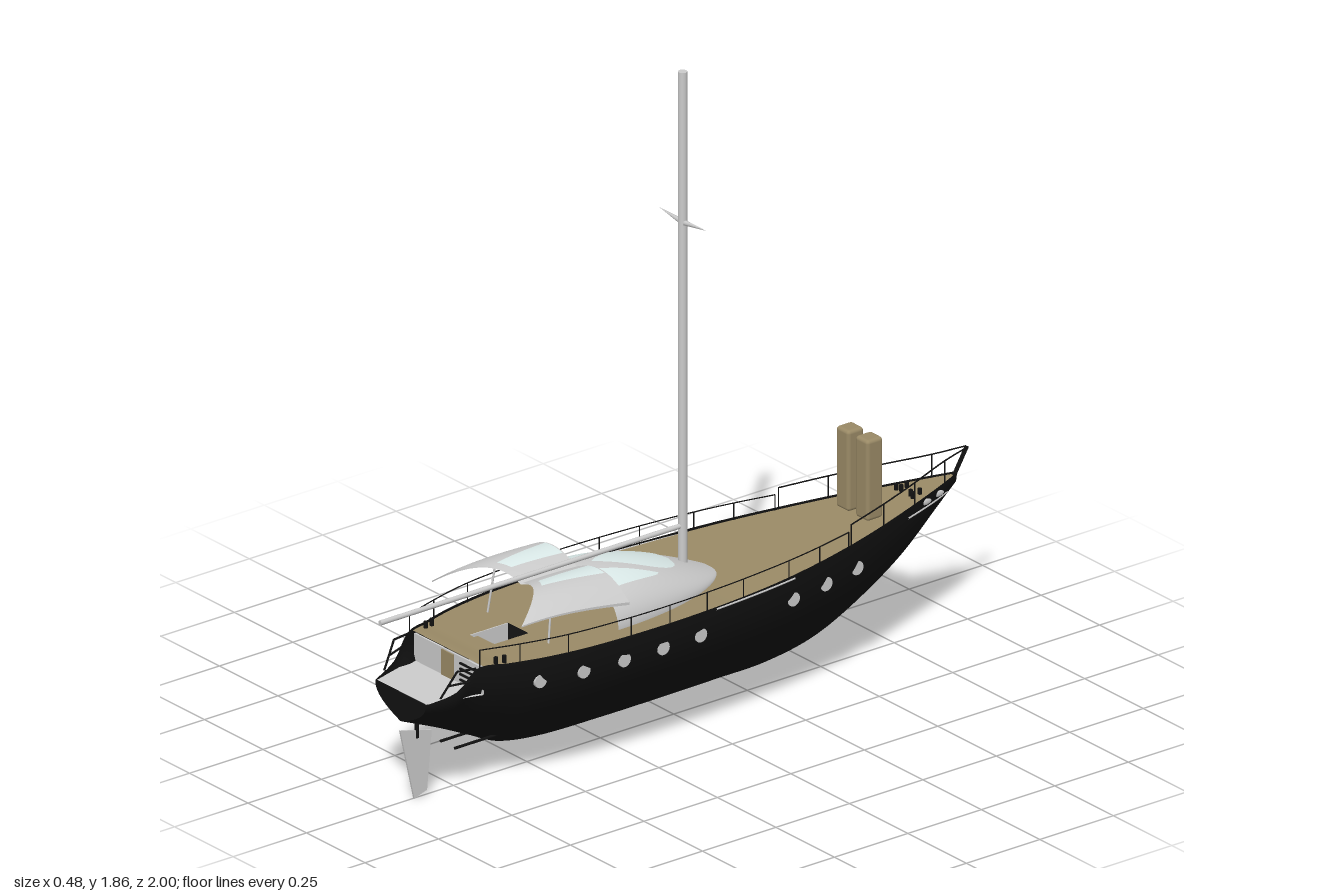
import * as THREE from 'three';
import { ParametricGeometry } from 'three/addons/geometries/ParametricGeometry.js';
import { RoundedBoxGeometry } from 'three/addons/geometries/RoundedBoxGeometry.js';

const mat = (color) => new THREE.MeshStandardMaterial({ color, side: THREE.DoubleSide });
const grey = mat(0xcccccc), black = mat(0x111111), teak = mat(0x9a8a66), glass = mat(0xdcebea);

// hull stations: z, half beam, keel height, sheer height
const stations = [
  [-0.96, 0.004, 0.418, 0.446], [-0.9, 0.028, 0.366, 0.442], [-0.77, 0.073, 0.254, 0.435], [-0.61, 0.123, 0.158, 0.427],
  [-0.47, 0.16, 0.099, 0.421], [-0.31, 0.194, 0.072, 0.416], [-0.15, 0.217, 0.069, 0.412], [0.05, 0.233, 0.067, 0.41],
  [0.25, 0.238, 0.067, 0.41], [0.46, 0.228, 0.072, 0.41], [0.6, 0.206, 0.094, 0.41], [0.7, 0.178, 0.14, 0.41],
  [0.79, 0.149, 0.183, 0.408], [0.84, 0.135, 0.205, 0.352], [0.93, 0.108, 0.243, 0.325]];

// smooth cubic interpolation of one station column
function at(z, k) {
  const s = stations, n = s.length;
  let i = 0;
  while (i < n - 2 && z > s[i + 1][0]) i++;
  const slope = (j) => {
    const a = s[Math.max(j - 1, 0)], b = s[Math.min(j + 1, n - 1)];
    return (b[k] - a[k]) / (b[0] - a[0]);
  };
  const h = s[i + 1][0] - s[i][0], t = THREE.MathUtils.clamp((z - s[i][0]) / h, 0, 1), t2 = t * t, t3 = t2 * t;
  return (2 * t3 - 3 * t2 + 1) * s[i][k] + (t3 - 2 * t2 + t) * h * slope(i)
    + (3 * t2 - 2 * t3) * s[i + 1][k] + (t3 - t2) * h * slope(i + 1);
}
const beam = (z) => at(z, 1), keel = (z) => at(z, 2), sheer = (z) => at(z, 3);
const fullness = (t) => 1 - Math.pow(1 - t, 2.2);
const hullX = (z, y) => beam(z) * fullness((y - keel(z)) / (sheer(z) - keel(z)));
const mix = THREE.MathUtils.lerp;

export function createModel() {
  const model = new THREE.Group();
  const add = (name, geometry, material, x = 0, y = 0, z = 0) => {
    const mesh = new THREE.Mesh(geometry, material);
    mesh.name = name;
    mesh.position.set(x, y, z);
    model.add(mesh);
    return mesh;
  };
  const patch = (name, f, nu, nv, material) =>
    add(name, new ParametricGeometry((u, v, p) => p.set(...f(u, v)), nu, nv), material);
  const box = (name, w, h, d, material, x, y, z) => add(name, new THREE.BoxGeometry(w, h, d), material, x, y, z);
  const rod = (name, a, b, r, material, sides = 8) => {
    const from = new THREE.Vector3(...a), dir = new THREE.Vector3(...b).sub(from);
    const m = add(name, new THREE.CylinderGeometry(r, r, dir.length(), sides), material);
    m.position.copy(from).addScaledVector(dir, 0.5);
    m.quaternion.setFromUnitVectors(new THREE.Vector3(0, 1, 0), dir.normalize());
    return m;
  };
  const tube = (name, pts, r, material) => add(name, new THREE.TubeGeometry(
    new THREE.CatmullRomCurve3(pts.map((p) => new THREE.Vector3(...p))), 48, r, 6), material);

  // hull shell and transom
  patch('hull', (u, v) => {
    const z = mix(-0.96, 0.93, v), s = 2 * u - 1, t = Math.abs(s);
    return [Math.sign(s) * beam(z) * fullness(t), mix(keel(z), sheer(z), t), z];
  }, 40, 110, black);
  const transom = new THREE.Shape();
  for (let i = -12; i <= 12; i++) {
    const t = Math.abs(i) / 12, x = Math.sign(i) * beam(0.93) * fullness(t), y = mix(keel(0.93), sheer(0.93), t);
    if (i === -12) transom.moveTo(x, y); else transom.lineTo(x, y);
  }
  add('transom', new THREE.ShapeGeometry(transom), black, 0, 0, 0.929);

  // teak deck, with an opening for the companionway steps
  const deckY = (z) => sheer(z) - 0.006;
  const deckPart = (z0, z1, inner, n) => patch('deck', (u, v) => {
    const z = mix(z0, z1, v);
    return [mix(inner === null ? -beam(z) : inner, beam(z) * Math.sign(inner || 1), u) * 0.985, deckY(z), z];
  }, 4, n, teak);
  deckPart(-0.95, 0.53, null, 60);
  deckPart(0.53, 0.66, 0.045, 8);
  deckPart(0.53, 0.66, -0.045, 8);
  deckPart(0.66, 0.765, null, 6);
  for (let i = 0; i < 5; i++) box('companionwayStep', 0.09, 0.008, 0.024, teak, 0, 0.39 - i * 0.018, 0.645 - i * 0.026);
  for (const s of [-1, 1]) box('companionwayWall', 0.004, 0.1, 0.13, grey, s * 0.045, 0.353, 0.595);
  box('companionwayFloor', 0.09, 0.004, 0.13, grey, 0, 0.302, 0.595);

  // stern bathing platform and its riser
  patch('sternPlatform', (u, v) => {
    const z = mix(0.765, 0.926, v);
    return [mix(-1, 1, u) * beam(z) * 0.96, 0.326, z];
  }, 4, 10, grey);
  box('sternRiser', 0.29, 0.078, 0.006, grey, 0, 0.365, 0.765);
  box('sternDoor', 0.05, 0.074, 0.004, teak, 0, 0.364, 0.77);
  for (let i = 0; i < 4; i++) box('sternLadderRung', 0.07, 0.004, 0.006, black, 0.09, 0.34 + i * 0.016, 0.772);

  // domed coach roof with windows lying on its surface
  const domeW = (z) => { const s = (z + 0.125) / 0.455; return 0.178 * Math.sqrt(Math.max(0, s * (2 - s))); };
  const domeH = (z) => 0.126 * Math.sin(((z + 0.125) / 0.455) * Math.PI / 2);
  const domeY = (x, z) => 0.403 + domeH(z) * Math.sqrt(Math.max(0, 1 - (x / domeW(z)) ** 2));
  patch('coachRoof', (u, v) => {
    const z = -0.1249 + 0.4549 * v * v, a = Math.PI * u;
    return [-domeW(z) * Math.cos(a), 0.403 + domeH(z) * Math.sin(a), z];
  }, 40, 36, grey);
  const domeWindow = (name, z0, z1, left, right) => patch(name, (u, v) => {
    const z = mix(z0, z1, v), x = mix(left(v), right(v), u);
    return [x, domeY(x, z) + 0.003, z];
  }, 12, 24, glass);
  const drop = (v) => 0.072 * Math.pow(Math.max(0, Math.sin(Math.PI * Math.pow(v, 0.55))), 0.8) * (1 - 0.1 * v);
  domeWindow('frontWindow', 0.02, 0.28, (v) => -drop(v), drop);
  for (const s of [-1, 1])
    domeWindow('sideWindow', 0.125, 0.325, (v) => s * (0.09 - 0.055 * v), (v) => s * (0.091 + 0.03 * Math.sqrt(v)));

  // gull-wing hardtop with roof lights
  const roofHeight = (x) => 0.536 + 0.027 * Math.sin(Math.min(Math.abs(x) / 0.1, 1) * Math.PI / 2)
    - 3.5 * Math.max(0, Math.abs(x) - 0.1) ** 2;
  const roofPoint = (s, v, lift = 0) => {
    const z = mix(0.33, 0.52 + 0.15 * s * s, v), aft = Math.max(0, (z - 0.33) / 0.35);
    const x = s * (0.224 - 0.034 * aft);
    return [x, roofHeight(x) - 0.008 * (1 - aft) ** 2 - 0.022 * aft ** 3 + lift, z];
  };
  patch('hardtop', (u, v) => roofPoint(2 * u - 1, v), 48, 16, grey);
  patch('hardtopUnderside', (u, v) => roofPoint(2 * u - 1, v, -0.008 * (1 - v * 0.5)), 48, 16, grey);
  for (const s of [-1, 1]) {
    patch('hardtopSide', (u, v) => roofPoint(s, v, -0.008 * u * (1 - v * 0.5)), 1, 16, grey);
    patch('roofLight', (u, v) => roofPoint(s * mix(0.24 + 0.04 * v, 0.57 - 0.1 * v, u), 0.03 + 0.85 * v, 0.002), 10, 10, glass);
    rod('hardtopPost', [s * 0.13, 0.405, 0.53], [s * 0.12, 0.553, 0.51], 0.003, grey);
  }

  // steering pedestal and wheel
  rod('pedestal', [0, 0.4, 0.42], [0, 0.48, 0.42], 0.007, black);
  add('wheel', new THREE.TorusGeometry(0.028, 0.003, 6, 24), black, 0, 0.475, 0.43);

  // mast, spreaders and boom
  rod('mast', [0, 0.405, -0.03], [0, 1.87, -0.03], 0.0125, grey, 20);
  rod('boom', [0, 0.548, -0.02], [0, 0.548, 1], 0.007, grey, 12);
  for (const s of [-1, 1]) {
    const m = add('spreader', new THREE.ConeGeometry(0.008, 0.1, 8), grey, s * 0.053, 1.436, -0.03);
    m.rotation.z = -s * (Math.PI / 2 - 0.09);
  }

  // two upright lockers on the foredeck
  for (const s of [-1, 1])
    add('foredeckLocker', new RoundedBoxGeometry(0.055, 0.235, 0.055, 3, 0.01), teak, s * 0.041, 0.538, -0.632);

  // fittings mirrored on both sides
  for (const s of [-1, 1]) {
    for (const z of [0.61, 0.48, 0.35, 0.22, 0.09, -0.25, -0.38, -0.51]) {
      const x = s * hullX(z, 0.34);
      rod('porthole', [x - s * 0.012, 0.34, z], [x + s * 0.003, 0.34, z], 0.02, grey, 24);
    }
    // guard rail and stanchions
    const side = [], railY = (z) => (z < -0.47 ? mix(0.478, 0.51, (-0.47 - z) / 0.53) : 0.46);
    const posts = [0.78, 0.67, 0.53, 0.33, 0.2, 0.07, -0.06, -0.23, -0.35, -0.47];
    for (const z of posts) side.push([s * beam(z) * 0.985, 0.46, z]);
    tube('guardRail', side, 0.0018, black);
    const pulpit = [-0.48, -0.62, -0.76, -0.9].map((z) => [s * beam(z) * 0.985, railY(z), z]);
    tube('pulpitRail', [...pulpit, [s * 0.004, 0.51, -0.998]], 0.0022, black);
    for (const z of [...posts, -0.48, -0.62, -0.76, -0.9])
      rod('stanchion', [s * beam(z) * 0.985, deckY(z), z], [s * beam(z) * 0.985, railY(z), z], 0.0018, black, 6);
    rod('pulpitStay', [s * 0.004, 0.44, -0.955], [s * 0.004, 0.51, -0.997], 0.003, black);
    // stern gate frames
    rod('sternFrame', [s * 0.12, 0.338, 0.89], [s * 0.135, 0.41, 0.845], 0.003, black);
    rod('sternFrame', [s * 0.146, 0.408, 0.79], [s * 0.135, 0.41, 0.845], 0.003, black);
    rod('sternFrame', [s * 0.146, 0.375, 0.81], [s * 0.128, 0.372, 0.868], 0.003, black);
    // bollards and fairleads
    for (const [x, z] of [[0.02, -0.79], [0.028, -0.815], [0.035, -0.785], [0.155, 0.7], [0.15, 0.725]])
      rod('bollard', [s * x, 0.4, z], [s * x, (z < 0 ? 0.448 : 0.425), z], 0.006, black, 10);
    for (const z of [-0.81, -0.87]) {
      const f = add('fairlead', new THREE.SphereGeometry(0.01, 12, 8), grey, s * hullX(z, 0.42), 0.42, z);
      f.scale.set(0.4, 0.9, 2);
    }
    // rubbing strakes amidships and at the bow
    for (const [z0, z1] of [[0.04, -0.25], [-0.73, -0.92]])
      tube('rubbingStrake', [0, 0.33, 0.67, 1].map((t) => {
        const z = mix(z0, z1, t);
        return [s * hullX(z, 0.403), 0.403, z];
      }), 0.003, grey);
    rod('propellerShaft', [s * 0.03, 0.13, 0.6], [s * 0.03, 0.13, 0.77], 0.004, black);
  }

  // rudder blade, drawn in the z-y plane
  const blade = new THREE.Shape([[-0.933, 0.216], [-0.826, 0.19], [-0.842, 0.02], [-0.885, 0.006]]
    .map((p) => new THREE.Vector2(...p)));
  const rudder = add('rudder', new THREE.ExtrudeGeometry(blade, { depth: 0.006, bevelEnabled: false }), grey, -0.003);
  rudder.rotation.y = Math.PI / 2;
  rod('rudderStock', [0, 0.18, 0.875], [0, 0.26, 0.875], 0.006, black);

  return model;
}
